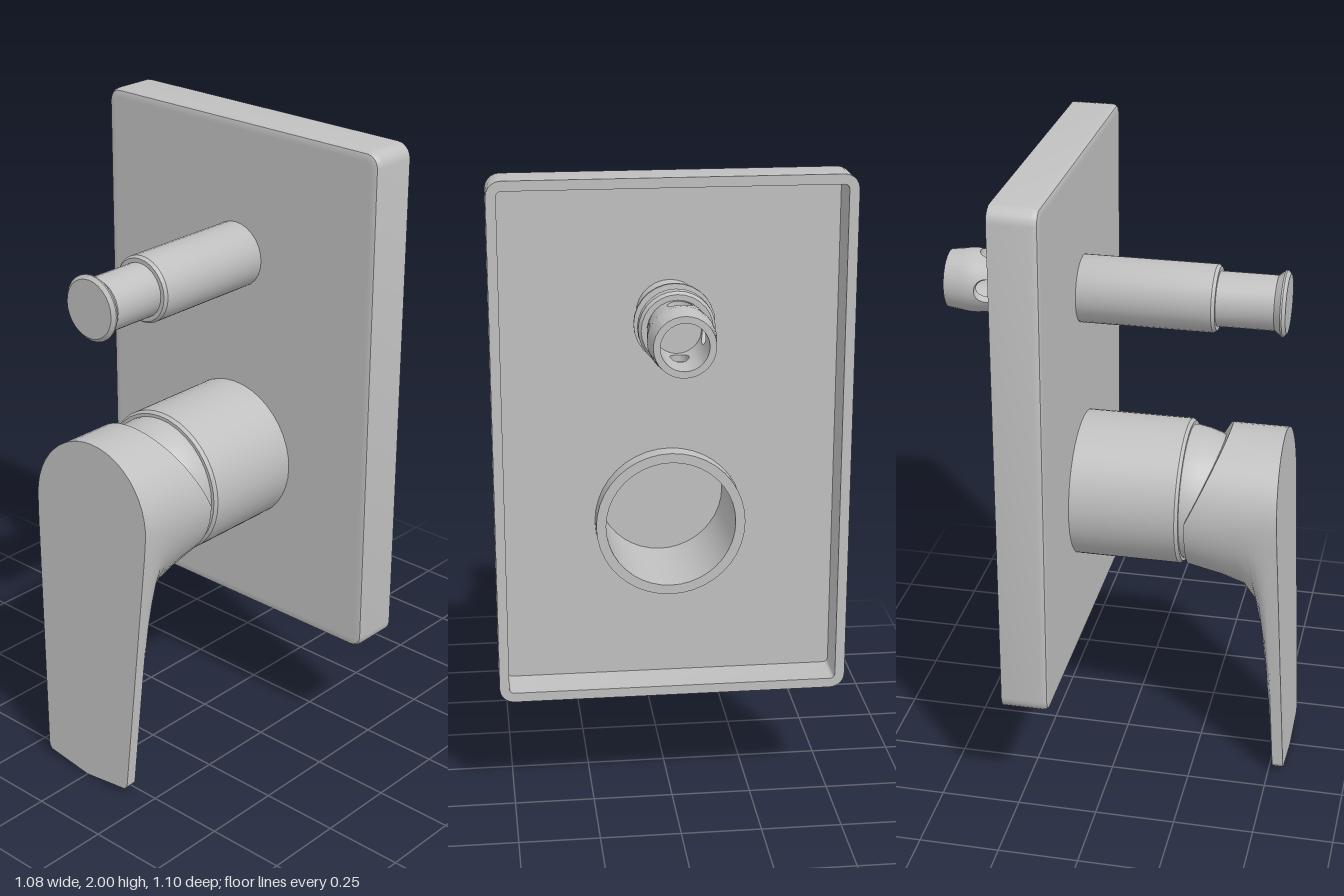
import * as THREE from 'three';
import { toCreasedNormals } from 'three/addons/utils/BufferGeometryUtils.js';

const metal = new THREE.MeshStandardMaterial({ color: 0xc0c0c0 });
metal.name = 'satin metal';

const KNOB_Y = 0.915, KNOB_R = 0.23, BUTTON_Y = 1.572;
const PLATE = { w: 1.08, h: 1.625, cy: 1.1875, corner: 0.045 };

function part(name, geometry, crease = 0.6) {
  const mesh = new THREE.Mesh(toCreasedNormals(geometry, crease), metal);
  mesh.name = name;
  return mesh;
}

// Skin a list of closed rings (arrays of [x, y, z] with equal counts)
function loft(rings) {
  const n = rings[0].length, index = [];
  for (let k = 0; k < rings.length - 1; k++) {
    for (let i = 0; i < n; i++) {
      const j = (i + 1) % n, a = k * n + i, b = k * n + j;
      index.push(a, b, b + n, a, b + n, a + n);
    }
  }
  const g = new THREE.BufferGeometry();
  g.setAttribute('position', new THREE.Float32BufferAttribute(rings.flat(2), 3));
  g.setIndex(index);
  g.computeVertexNormals();
  return g;
}

// Turned part along z; profile is [radius, z] from back to front
function turned(profile, y, segments) {
  const g = new THREE.LatheGeometry(profile.map(([r, z]) => new THREE.Vector2(r, z)), segments);
  return g.rotateX(Math.PI / 2).translate(0, y, 0);
}

// Rounded rectangle outline of the plate, counterclockwise
function plateOutline(inset) {
  const r = Math.max(PLATE.corner - inset, 0.015), pts = [];
  const hx = PLATE.w / 2 - inset - r, hy = PLATE.h / 2 - inset - r;
  [[1, 1], [-1, 1], [-1, -1], [1, -1]].forEach(([sx, sy], q) => {
    for (let i = 0; i <= 5; i++) {
      const a = (q + i / 5) * Math.PI / 2;
      pts.push([sx * hx + r * Math.cos(a), PLATE.cy + sy * hy + r * Math.sin(a)]);
    }
  });
  return pts;
}

function buildPlate() {
  const group = new THREE.Group();
  group.name = 'wallPlate';
  // Rim: inner wall, back edge, outer wall, rounded front edge
  const steps = [[0.03, -0.16], [0.03, -0.285], [0, -0.285], [0, -0.16],
    [0.002, -0.15], [0.007, -0.143], [0.016, -0.14], [0.03, -0.14]];
  group.add(part('plateRim', loft(steps.map(([inset, z]) => plateOutline(inset).map(([x, y]) => [x, y, z])))));
  // Front panel with the opening for the cartridge
  const shape = new THREE.Shape(plateOutline(0.03).map(([x, y]) => new THREE.Vector2(x, y)));
  shape.holes.push(new THREE.Path().absarc(0, KNOB_Y, 0.21, 0, Math.PI * 2, true));
  const panel = new THREE.ExtrudeGeometry(shape, { depth: 0.02, bevelEnabled: false, curveSegments: 24 });
  group.add(part('platePanel', panel.translate(0, 0, -0.16)));
  return group;
}

// Front outline of the lever: round top, tapering sides, shallow pointed foot
function leverOutline(a) {
  const s = Math.sin(a), c = Math.cos(a);
  if (s >= -1e-6) return [KNOB_R * c, KNOB_Y + KNOB_R * s];
  const u = Math.asin(Math.min(1, -s)) / (Math.PI / 2);
  const keys = [[0, 0.23, 0.915], [1 / 12, 0.227, 0.84], [6 / 12, 0.175, 0.04], [7 / 12, 0.165, 0.026], [1, 0, 0.005]];
  let k = 0;
  while (k < keys.length - 2 && u > keys[k + 1][0] + 1e-6) k++;
  const [p, q] = [keys[k], keys[k + 1]], t = (u - p[0]) / (q[0] - p[0]);
  return [Math.sign(c) * THREE.MathUtils.lerp(p[1], q[1], t), THREE.MathUtils.lerp(p[2], q[2], t)];
}

function buildLever() {
  const N = 48, frontZ = y => 0.55 - 0.048 * y;
  const ring = fn => Array.from({ length: N }, (_, i) => fn(i / N * Math.PI * 2));
  // [depth toward the rear, blend from lever outline to round base]
  const sweep = [[1, 1], [0.63, 0.965], [0.39, 0.93], [0.25, 0.85], [0.17, 0.7], [0.1, 0.47], [0.05, 0.25], [0, 0]];
  const rings = [ring(() => [0, KNOB_Y, 0.22])];
  for (const [depth, blend] of sweep) {
    rings.push(ring(a => {
      const [fx, fy] = leverOutline(a);
      const cx = KNOB_R * Math.cos(a), cy = KNOB_Y + KNOB_R * Math.sin(a);
      const start = frontZ(fy) - 0.035, end = 0.22 + Math.max(0, cy - KNOB_Y) * 0.46;
      return [fx + (cx - fx) * blend, fy + (cy - fy) * blend, start + (end - start) * depth];
    }));
  }
  rings.push(ring(a => {
    const [x, y] = leverOutline(a);
    return [x, y, frontZ(y)];
  }));
  rings.push(ring(() => [0, 0.6, frontZ(0.6)]));
  return part('lever', loft(rings), 0.5);
}

// Quarter of the pierced sleeve: a curved panel around one round hole
function sleeveQuarter(turn) {
  const back = -0.555, front = -0.36, holeZ = -0.42, holeR = 0.038, inner = 0.07, S = 8;
  const outer = z => z < -0.48 ? 0.09 + (z - back) / 0.075 * 0.01 : 0.1 - (z + 0.48) / 0.12 * 0.012;
  const half = Math.PI / 4, border = [];
  for (let i = 0; i < S; i++) border.push([half, back + (front - back) * i / S]);
  for (let i = 0; i < S; i++) border.push([half - 2 * half * i / S, front]);
  for (let i = 0; i < S; i++) border.push([-half, front + (back - front) * i / S]);
  for (let i = 0; i < S; i++) border.push([-half + 2 * half * i / S, back]);
  const ring = (t, radius) => border.map(([th, z], i) => {
    const a = -Math.PI / 4 + i / border.length * Math.PI * 2;
    const angle = turn + THREE.MathUtils.lerp(th, holeR * Math.cos(a) / 0.095, t);
    const zz = THREE.MathUtils.lerp(z, holeZ + holeR * Math.sin(a), t), r = radius(zz);
    return [r * Math.cos(angle), BUTTON_Y + r * Math.sin(angle), zz];
  });
  const steps = [0, 0.25, 0.5, 0.75, 1];
  const outside = steps.map(t => ring(t, outer));
  const inside = steps.map(t => ring(1 - t, () => inner));
  return part('sleeveQuarter', loft([...outside, ...inside, outside[0]]));
}

export function createModel() {
  const model = new THREE.Group();
  model.name = 'showerMixer';
  model.add(buildPlate());

  // Hollow cartridge cover, open at the back
  model.add(part('cartridgeCover', turned([[0, 0.1], [0.2, 0.1], [0.2, -0.215], [0.23, -0.215],
    [0.23, 0.19], [0.222, 0.2], [0.2, 0.2]], KNOB_Y, 40)));
  // Domed neck under the lever
  model.add(part('leverNeck', turned([[0.212, 0.195], [0.212, 0.215], [0.205, 0.25], [0.194, 0.285],
    [0.178, 0.315], [0.13, 0.36], [0, 0.38]], KNOB_Y, 36)));
  model.add(buildLever());

  // Diverter: rear collars, guide tube, pull stem and flared tip
  model.add(part('diverterBody', turned([[0, -0.365], [0.105, -0.365], [0.113, -0.355], [0.113, -0.326],
    [0.1, -0.32], [0.1, -0.295], [0.12, -0.293], [0.12, -0.284], [0.1, -0.284], [0.1, -0.16], [0.104, -0.15],
    [0.104, 0.27], [0.097, 0.28], [0.084, 0.28], [0.084, 0.455], [0.101, 0.475], [0.101, 0.48],
    [0.09, 0.49], [0, 0.49]], BUTTON_Y, 28)));
  const sleeve = new THREE.Group();
  sleeve.name = 'piercedSleeve';
  for (let q = 0; q < 4; q++) sleeve.add(sleeveQuarter(q * Math.PI / 2));
  model.add(sleeve);
  return model;
}
